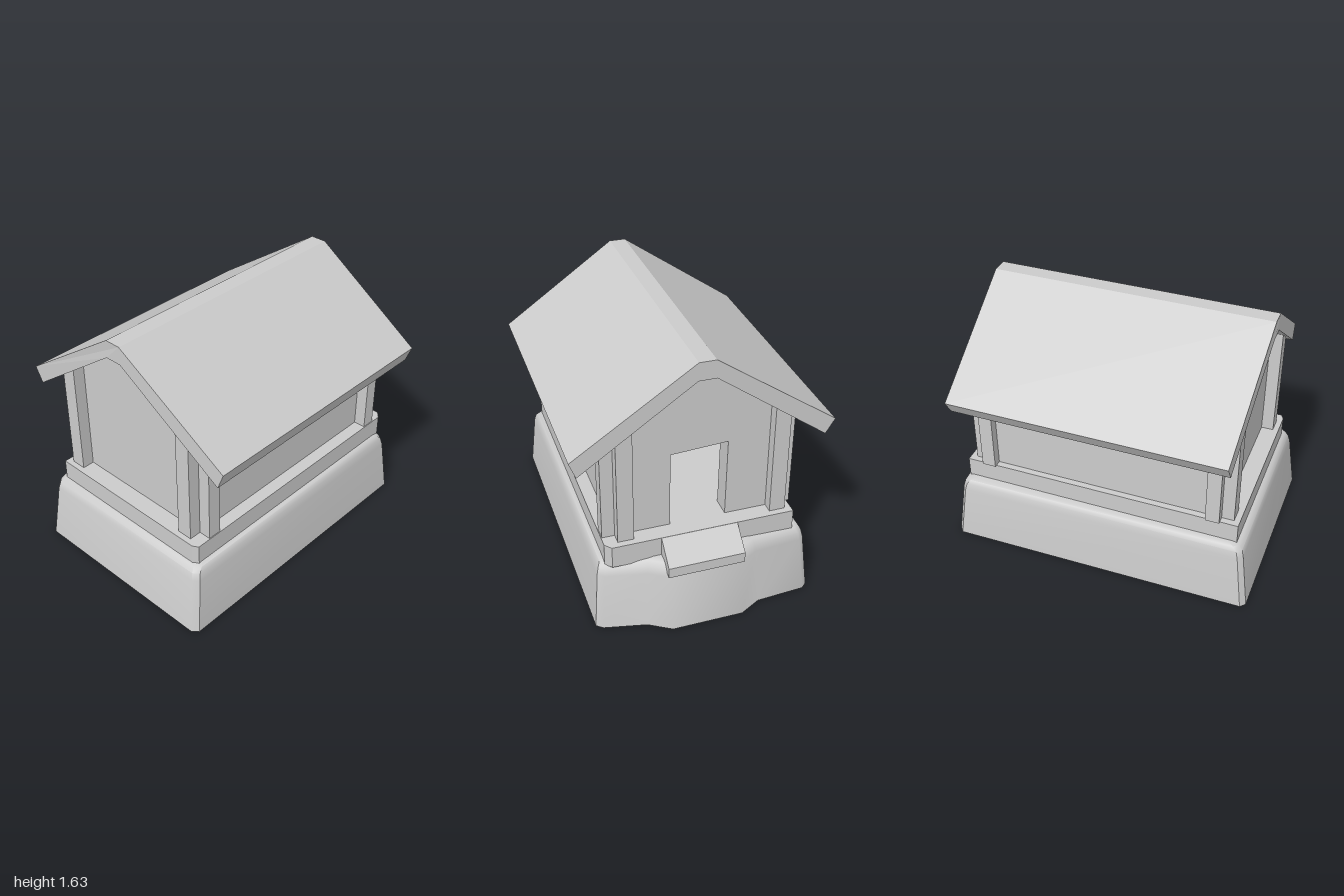
import * as THREE from 'three';
import { toCreasedNormals } from 'three/addons/utils/BufferGeometryUtils.js';

const material = new THREE.MeshStandardMaterial({ color: 0xcccccc, side: THREE.DoubleSide });
const toShape = pts => new THREE.Shape(pts.map(p => new THREE.Vector2(p[0], p[1])));

// Extrudes a (z, y) profile along x, from x0 to x1
function alongX(shape, x0, x1) {
  const g = new THREE.ExtrudeGeometry(shape, { depth: x1 - x0, bevelEnabled: false });
  return g.rotateY(-Math.PI / 2).translate(x1, 0, 0);
}

// Height of the roof's underside at depth z
const eaveY = z => 1.525 - Math.max(0, Math.abs(z) - 0.05) * (z > 0 ? 0.696 : 0.72);

const FLOOR = 0.55;

// Upright piece whose top follows the slope of the roof
const upright = (x0, x1, z0, z1) => alongX(
  toShape([[z0, FLOOR], [z1, FLOOR], [z1, eaveY(z1)], [z0, eaveY(z0)]]), x0, x1);

// Hollow mound: rings of one outline, tapering and rounding over at the top
function moundGeometry() {
  const outline = [[-1, -0.6], [-0.97, -0.63], [0.88, -0.645], [0.91, -0.61], [0.93, -0.31], [1, -0.18],
    [1, 0.25], [0.92, 0.38], [0.865, 0.63], [0.835, 0.668], [-0.97, 0.668], [-1, 0.63]];
  const levels = [[0, 1, 1], [0.35, 0.952, 0.955], [0.395, 0.94, 0.94], [0.42, 0.915, 0.92],
    [0.43, 0.885, 0.89], [0.43, 0, 0]];
  const n = outline.length, pos = [], index = [];
  for (const [y, sx, sz] of levels)
    for (const [x, z] of outline) pos.push(x * sx, y, z * sz);
  for (let r = 0; r < levels.length - 1; r++)
    for (let i = 0; i < n; i++) {
      const a = r * n + i, b = r * n + (i + 1) % n;
      index.push(a, a + n, b);
      if (r < levels.length - 2) index.push(b, a + n, b + n);
    }
  const g = new THREE.BufferGeometry();
  g.setAttribute('position', new THREE.Float32BufferAttribute(pos, 3));
  g.setIndex(index);
  return toCreasedNormals(g, 0.75);
}

export function createModel() {
  const model = new THREE.Group();
  const add = (name, geometry, parent = model) => {
    const mesh = new THREE.Mesh(geometry, material);
    mesh.name = name;
    parent.add(mesh);
    return mesh;
  };

  add('mound', moundGeometry());

  // Plinth with clipped front corners; the outline is in (x, -z)
  const plinth = toShape([[-0.9, 0.545], [-0.9, -0.555], [-0.88, -0.59], [0.79, -0.59], [0.83, -0.555], [0.83, 0.545]]);
  add('plinth', new THREE.ExtrudeGeometry(plinth, { depth: 0.14, bevelEnabled: false })
    .rotateX(-Math.PI / 2).translate(0, 0.41, 0));

  // Ramp below the doorway
  const ramp = toShape([[0.78, 0.42], [0.965, 0.365], [0.965, 0.43], [0.83, 0.549], [0.78, 0.549]]);
  add('ramp', new THREE.ExtrudeGeometry(ramp, { depth: 0.46, bevelEnabled: false }).translate(0, 0, -0.195));

  // Walls: two long sides, a plain gable and a gable with the doorway
  const walls = new THREE.Group();
  walls.name = 'walls';
  model.add(walls);
  add('frontWall', upright(-0.79, 0.725, 0.41, 0.51), walls);
  add('backWall', upright(-0.79, 0.725, -0.505, -0.405), walls);
  const gable = [[-0.505, FLOOR], [0.51, FLOOR], [0.51, eaveY(0.51)], [0.05, 1.525], [-0.05, 1.525], [-0.505, eaveY(-0.505)]];
  add('plainGable', alongX(toShape(gable), -0.79, -0.67), walls);
  const door = [[-0.155, FLOOR], [-0.16, 1.05], [0.18, 1.03], [0.18, FLOOR]];
  add('doorGable', alongX(toShape([gable[0], ...door, ...gable.slice(1)]), 0.605, 0.725), walls);

  // A pair of posts at every corner
  const posts = new THREE.Group();
  posts.name = 'cornerPosts';
  model.add(posts);
  for (const [x0, x1] of [[-0.79, -0.705], [0.64, 0.725]]) {
    add('frontPost', upright(x0, x1, 0.51, 0.585), posts);
    add('backPost', upright(x0, x1, -0.56, -0.505), posts);
  }
  for (const [x0, x1] of [[-0.865, -0.79], [0.725, 0.79]])
    for (const [z0, z1] of [[0.415, 0.51], [-0.505, -0.41]])
      add('sidePost', upright(x0, x1, z0, z1), posts);

  // Roof with a flat ridge; its far edge leans out towards the ridge
  const roof = alongX(toShape([[0.055, 1.63], [-0.045, 1.63], [-0.77, 1.13], [-0.715, 1.04],
    [-0.05, 1.52], [0.055, 1.52], [0.73, 1.05], [0.768, 1.15]]), -0.9, 0.805);
  const p = roof.attributes.position;
  for (let i = 0; i < p.count; i++)
    if (p.getX(i) < 0) p.setX(i, -0.905 + 0.035 * Math.abs(p.getZ(i)) / 0.77);
  roof.computeVertexNormals();
  add('roof', roof);

  return model;
}
